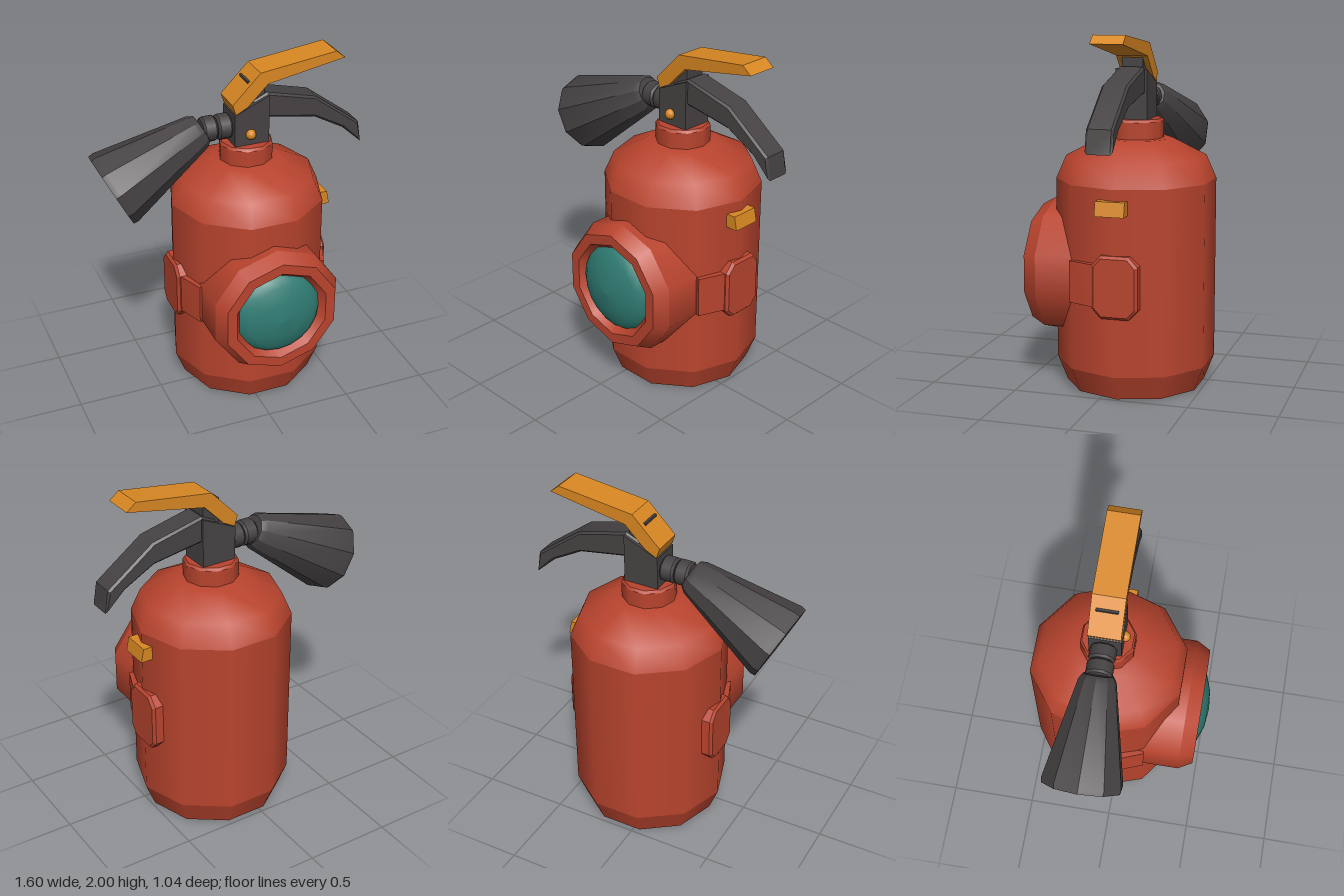
import * as THREE from 'three';
import { mergeGeometries, toCreasedNormals } from 'three/addons/utils/BufferGeometryUtils.js';

const CX = 0.085, CZ = -0.09; // axis of the tank
const material = (name, color) => {
  const m = new THREE.MeshStandardMaterial({ color });
  m.name = name;
  return m;
};

// Lathe made of bands: smooth around and within a band, sharp between bands
function bands(profiles, sides, start = 0) {
  return mergeGeometries(profiles.map(p =>
    new THREE.LatheGeometry(p.map(([r, y]) => new THREE.Vector2(r, y)), sides, start)));
}

// Polygon extruded along z between z0 and z1, with an optional bevel inside the outline
function slab(points, z0, z1, bevel = 0) {
  const shape = new THREE.Shape(points.map(([x, y]) => new THREE.Vector2(x, y)));
  const g = new THREE.ExtrudeGeometry(shape, {
    depth: z1 - z0 - 2 * bevel, bevelEnabled: bevel > 0, bevelSegments: 1,
    bevelSize: bevel, bevelThickness: bevel, bevelOffset: -bevel,
  });
  g.translate(0, 0, z0 + bevel);
  return toCreasedNormals(g, 0.4);
}

export function createModel() {
  const group = new THREE.Group();
  const red = material('red paint', 0xb9442e);
  const dark = material('dark rubber', 0x464243);
  const orange = material('orange metal', 0xd88722);
  const teal = material('teal glass', 0x2f7b72);
  const add = (name, geometry, mat, x = 0, y = 0, z = 0) => {
    const mesh = new THREE.Mesh(geometry, mat);
    mesh.name = name;
    mesh.position.set(x, y, z);
    group.add(mesh);
    return mesh;
  };

  // Ten-sided tank and neck
  add('tank', bands([
    [[0, 0], [0.397, 0]],
    [[0.397, 0], [0.452, 0.14]],
    [[0.452, 0.14], [0.452, 1.18]],
    [[0.452, 1.18], [0.395, 1.31], [0.2, 1.41], [0, 1.415]],
  ], 10, Math.PI / 2), red, CX, 0, CZ);
  add('neck', bands([
    [[0.155, 1.39], [0.155, 1.505]],
    [[0.155, 1.505], [0.145, 1.52]],
    [[0.145, 1.52], [0, 1.52]],
  ], 10, Math.PI / 2), red, CX, 0, CZ);

  // Porthole ring and domed glass, turned to face the front
  const ring = bands([
    [[0.39, 0], [0.39, 0.39]],
    [[0.39, 0.39], [0.345, 0.472]],
    [[0.345, 0.472], [0.285, 0.472]],
    [[0.285, 0.472], [0.245, 0.42]],
  ], 10);
  add('portholeRing', ring.rotateX(Math.PI / 2), red, 0.08, 0.655, 0);
  const glass = bands([[[0.255, 0.425], [0.238, 0.448], [0.2, 0.476], [0.11, 0.509], [0, 0.52]]], 20);
  add('portholeGlass', glass.rotateX(Math.PI / 2), teal, 0.075, 0.655, 0);

  // Strap and eight-cornered plate on each side
  const octagon = [[-0.13, -0.12], [-0.08, -0.175], [0.08, -0.175], [0.13, -0.12],
    [0.13, 0.12], [0.08, 0.175], [-0.08, 0.175], [-0.13, 0.12]];
  const strap = [[0.39, -0.27], [0.457, -0.1], [0.46, 0.02], [0.4, 0], [0.34, -0.25]];
  for (const [side, s] of [['left', 1], ['right', -1]]) {
    add(side + 'Plate', slab(octagon, -0.045, 0.045, 0.015).rotateY(Math.PI / 2),
      red, CX + s * 0.425, 0.645, -0.1);
    add(side + 'Strap', slab(strap.map(([x, y]) => [s * x, y]), 0.53, 0.765).rotateX(-Math.PI / 2),
      red, CX, 0, CZ);
  }

  // Small tag on the left side of the tank
  add('tag', slab([[0.5, 1.04], [0.582, 1.04], [0.566, 1.12], [0.51, 1.12]], -0.165, 0), orange);

  // Valve block, carrying handle and squeeze lever
  add('valveBlock', slab([[-0.015, 1.51], [0.19, 1.51], [0.19, 1.8], [-0.015, 1.71]], -0.18, 0), dark);
  add('carryHandle', slab([[0.1, 1.66], [0.19, 1.66], [0.48, 1.61], [0.66, 1.51], [0.78, 1.4],
    [0.76, 1.53], [0.485, 1.735], [0.185, 1.81], [0.1, 1.77]], -0.165, -0.015, 0.012), dark);
  add('leverPost', new THREE.BoxGeometry(0.1, 0.18, 0.12), dark, 0.12, 1.8, -0.09);
  add('squeezeLever', slab([[-0.01, 1.715], [0.06, 1.75], [0.18, 1.87], [0.645, 1.955],
    [0.59, 2], [0.135, 1.942], [-0.03, 1.775]], -0.18, 0), orange);
  add('rivet', new THREE.SphereGeometry(0.03, 10, 8), orange, 0.077, 1.585, 0.005);

  // Hose joints and horn
  for (const x of [-0.142, -0.055]) {
    add('hoseJoint', bands([
      [[0, -0.042], [0.062, -0.042]],
      [[0.062, -0.042], [0.074, -0.03]],
      [[0.074, -0.03], [0.074, 0.03]],
      [[0.074, 0.03], [0.062, 0.042]],
      [[0.062, 0.042], [0, 0.042]],
    ], 10).rotateZ(Math.PI / 2), dark, x, 1.615, -0.095);
  }
  const wide = new THREE.Vector3(-0.715, 1.342, -0.097), narrow = new THREE.Vector3(-0.195, 1.61, -0.097);
  const axis = wide.clone().sub(narrow), length = axis.length();
  const horn = add('horn', toCreasedNormals(bands([
    [[0, -0.02], [0.085, -0.02], [0.105, 0.01], [0.226, length - 0.03], [0.222, length], [0, length]],
  ], 10, Math.PI / 10), 0.4), dark, narrow.x, narrow.y, narrow.z);
  horn.quaternion.setFromUnitVectors(new THREE.Vector3(0, 1, 0), axis.normalize());

  return group;
}
